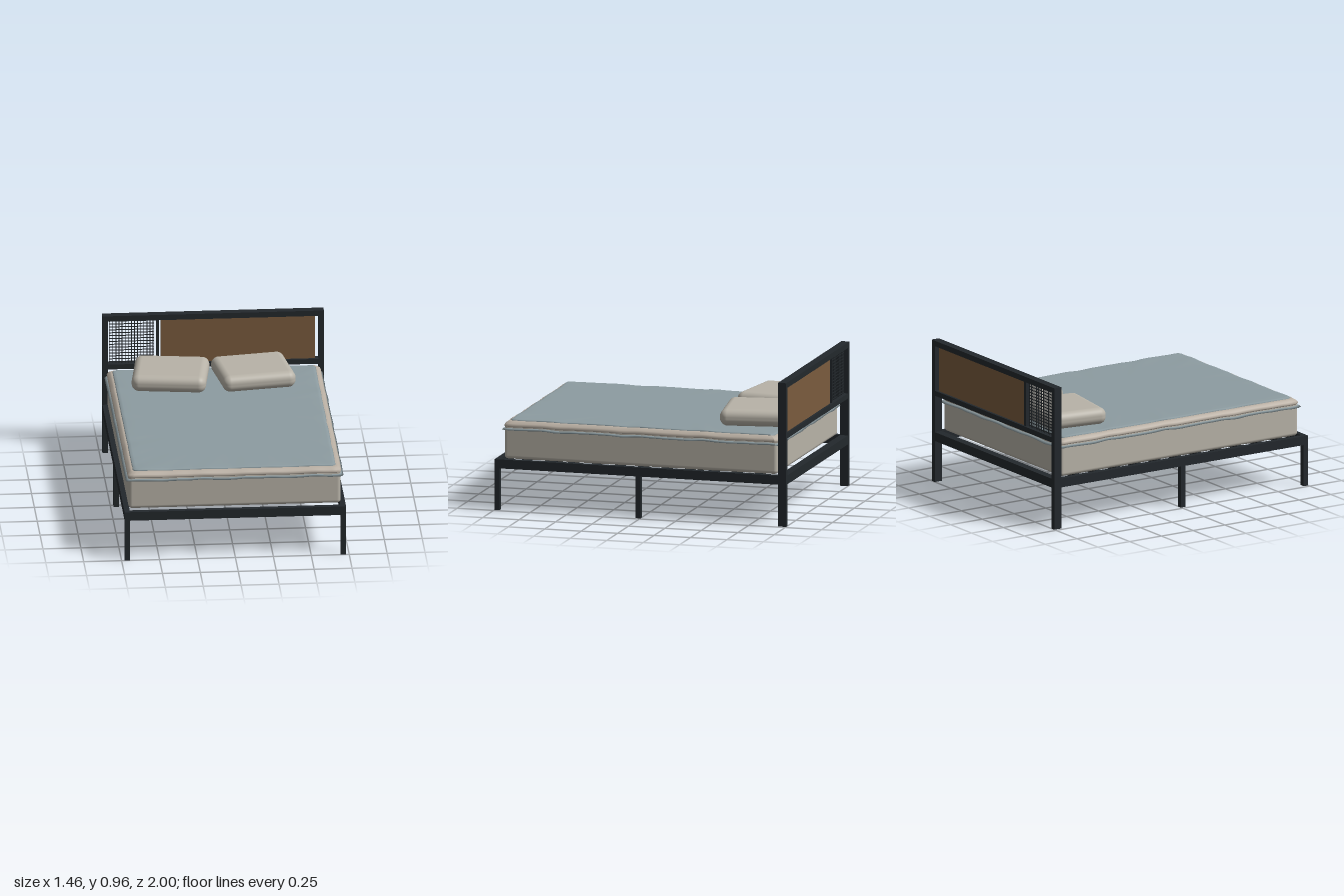
import * as THREE from 'three';
import { RoundedBoxGeometry } from 'three/addons/geometries/RoundedBoxGeometry.js';

const mat = (color, side = THREE.FrontSide) => new THREE.MeshStandardMaterial({ color, side });
const steel = mat(0x23282c), wood = mat(0x7a5c3e), linen = mat(0xb8b3a8);
const blue = mat(0x8d9ca1, THREE.DoubleSide), quilt = mat(0xb8aea2, THREE.DoubleSide);

export function createModel() {
  const model = new THREE.Group();

  const add = (parent, name, geometry, material) => {
    const mesh = new THREE.Mesh(geometry, material);
    mesh.name = name;
    parent.add(mesh);
    return mesh;
  };
  // Box given by its min and max on each axis
  const bar = (parent, name, x0, x1, y0, y1, z0, z1, material = steel) =>
    add(parent, name, new THREE.BoxGeometry(x1 - x0, y1 - y0, z1 - z0), material)
      .position.set((x0 + x1) / 2, (y0 + y1) / 2, (z0 + z1) / 2);
  const group = (name) => {
    const g = new THREE.Group();
    g.name = name;
    model.add(g);
    return g;
  };

  // Base frame with legs and slats
  const base = group('bedFrame');
  for (const s of [-1, 1]) {
    const a = Math.min(s * 0.694, s * 0.73), b = Math.max(s * 0.694, s * 0.73);
    bar(base, 'sideRail', a, b, 0.28, 0.34, -0.945, 0.965);
    bar(base, 'frontLeg', a, b, 0, 0.34, 0.965, 1);
    bar(base, 'middleLeg', a, b, 0, 0.28, -0.003, 0.032);
    bar(base, 'headboardPost', a, b, 0, 0.926, -1, -0.945);
  }
  bar(base, 'footRail', -0.694, 0.694, 0.28, 0.34, 0.965, 1);
  bar(base, 'headRail', -0.694, 0.694, 0.28, 0.34, -1, -0.945);
  for (let i = 0; i < 11; i++) {
    const z = -0.79 + i * 0.16;
    bar(base, 'slat', -0.694, 0.694, 0.31, 0.339, z - 0.018, z + 0.018);
  }

  // Headboard: rails, wooden panel and wire mesh
  const head = group('headboard');
  bar(head, 'topRail', -0.73, 0.73, 0.926, 0.963, -1, -0.945);
  bar(head, 'lowerRail', -0.694, 0.694, 0.588, 0.622, -1, -0.945);
  bar(head, 'divider', -0.375, -0.355, 0.622, 0.926, -0.99, -0.955);
  bar(head, 'woodPanel', -0.343, 0.672, 0.622, 0.926, -0.983, -0.962, wood);
  for (let i = 0; i < 15; i++) {
    const x = -0.68 + i * 0.0204, y = 0.632 + i * 0.0204;
    bar(head, 'meshWire', x - 0.0025, x + 0.0025, 0.622, 0.926, -0.975, -0.97);
    bar(head, 'meshWire', -0.685, -0.39, y - 0.0025, y + 0.0025, -0.975, -0.97);
  }

  // Mattress
  add(model, 'mattress', new RoundedBoxGeometry(1.4, 0.235, 1.875, 4, 0.025), linen)
    .position.set(0, 0.4575, 0.007);

  // Bedding layers, each lofted through [inset, height, waviness] loops around the bed
  const layer = (name, profile, material, closed) => {
    const N = 240, pos = [], idx = [];
    profile.forEach(([inset, y, wave], r) => {
      const hx = 0.705 - inset, hz = 0.943 - inset, c = Math.min(0.025, hx);
      const points = new THREE.Shape()
        .moveTo(hx, -hz + c).lineTo(hx, hz - c).quadraticCurveTo(hx, hz, hx - c, hz)
        .lineTo(-hx + c, hz).quadraticCurveTo(-hx, hz, -hx, hz - c)
        .lineTo(-hx, -hz + c).quadraticCurveTo(-hx, -hz, -hx + c, -hz)
        .lineTo(hx - c, -hz).quadraticCurveTo(hx, -hz, hx, -hz + c)
        .getSpacedPoints(N);
      points.forEach((p, i) => {
        const a = (i / N) * Math.PI * 2;
        const w = wave * (Math.sin(a * 17) + 0.6 * Math.sin(a * 29 + 1) + 0.3 * Math.sin(a * 43));
        pos.push(p.x * (1 + w * 0.4), y + w, p.y * (1 + w * 0.3) + 0.005);
        if (r < profile.length - 1 && i < N) {
          const k = r * (N + 1) + i;
          idx.push(k, k + N + 1, k + 1, k + 1, k + N + 1, k + N + 2);
        }
      });
    });
    if (closed) {
      const last = (profile.length - 1) * (N + 1), centre = pos.length / 3;
      pos.push(0, profile.at(-1)[1], 0.005);
      for (let i = 0; i < N; i++) idx.push(last + i, centre, last + i + 1);
    }
    const g = new THREE.BufferGeometry();
    g.setAttribute('position', new THREE.Float32BufferAttribute(pos, 3));
    g.setIndex(idx);
    g.computeVertexNormals();
    add(bedding, name, g, material);
  };
  const bedding = group('bedding');
  layer('blanketHem', [[0.01, 0.532, 0.002], [-0.013, 0.538, 0.003], [0, 0.548, 0.002], [0.02, 0.553, 0.001]], blue);
  layer('quiltRoll', [[0.02, 0.55, 0], [0.004, 0.556, 0.001], [0, 0.566, 0.0015], [0.006, 0.578, 0.0015],
    [0.02, 0.588, 0.001], [0.028, 0.594, 0.001], [0.06, 0.594, 0]], quilt);
  layer('blanketTop', [[0.04, 0.588, 0.001], [0.036, 0.595, 0.002], [0.042, 0.601, 0.0015], [0.06, 0.604, 0.001],
    [0.12, 0.603, 0.0005], [0.3, 0.604, 0], [0.5, 0.604, 0]], blue, true);

  // Pillows
  for (const [x, z, turn] of [[-0.303, -0.657, -0.14], [0.243, -0.657, 0.15]]) {
    const pillow = add(model, 'pillow', new RoundedBoxGeometry(0.49, 0.112, 0.438, 8, 0.05), linen);
    pillow.position.set(x, 0.658, z);
    pillow.rotation.y = turn;
  }
  return model;
}
